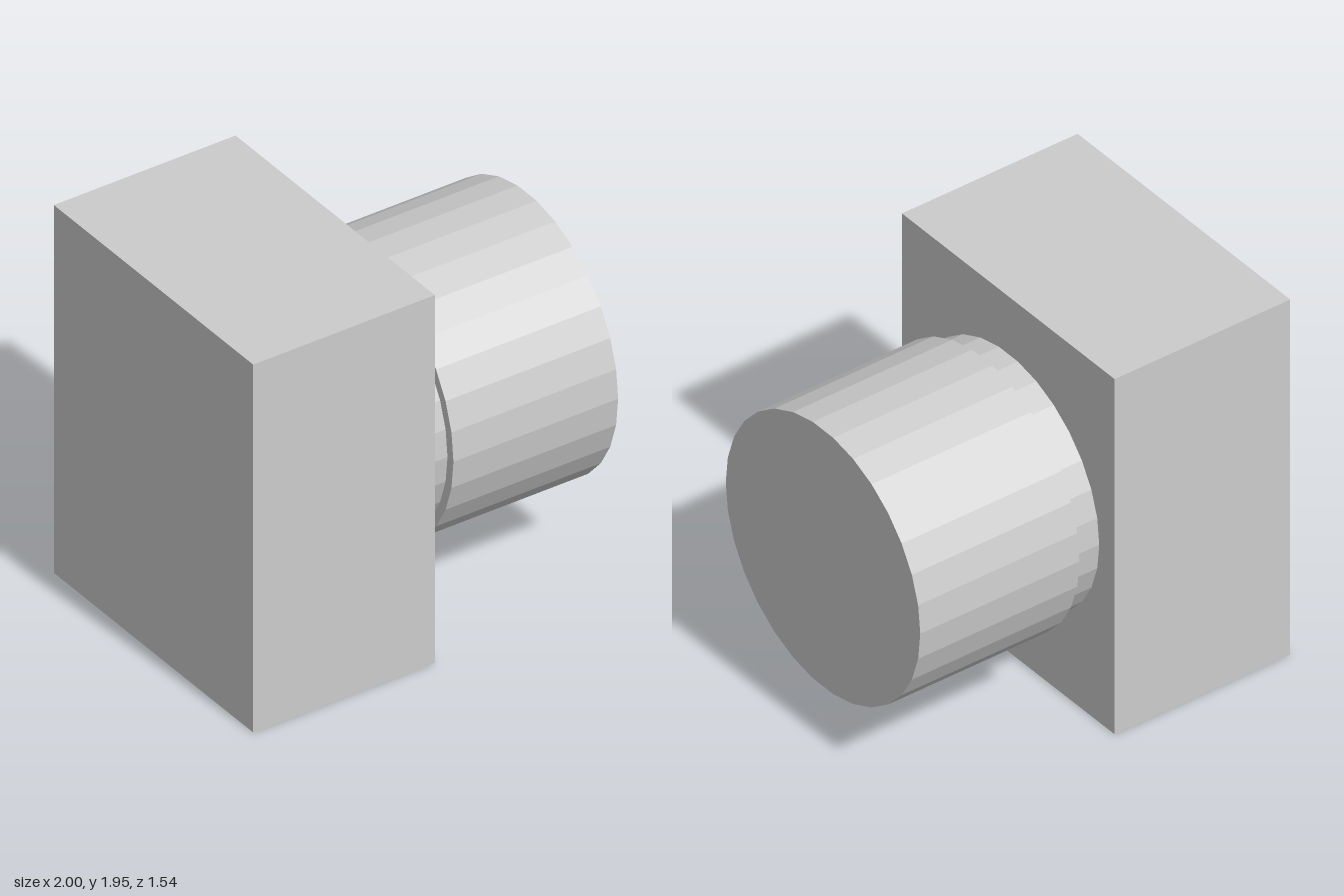
import * as THREE from 'three';

const CENTRE_Y = 0.973;
const material = new THREE.MeshStandardMaterial({ color: 0xcccccc, flatShading: true });

// Faceted cylinder lying along x, from x0 to x1
function barrel(name, radius, x0, x1) {
  const geometry = new THREE.CylinderGeometry(radius, radius, x1 - x0, 30);
  geometry.rotateZ(-Math.PI / 2);
  const mesh = new THREE.Mesh(geometry, material);
  mesh.name = name;
  mesh.position.set((x0 + x1) / 2, CENTRE_Y, 0);
  return mesh;
}

export function createModel() {
  const model = new THREE.Group();
  model.name = 'blockWithKnob';

  // Rectangular block
  const block = new THREE.Mesh(new THREE.BoxGeometry(0.973, 2 * CENTRE_Y, 1.544), material);
  block.name = 'block';
  block.position.set(-1 + 0.973 / 2, CENTRE_Y, 0);
  model.add(block);

  // Narrow neck and wider knob
  model.add(barrel('neck', 0.66, -0.027, 0.118));
  model.add(barrel('knob', 0.706, 0.118, 1));
  return model;
}
